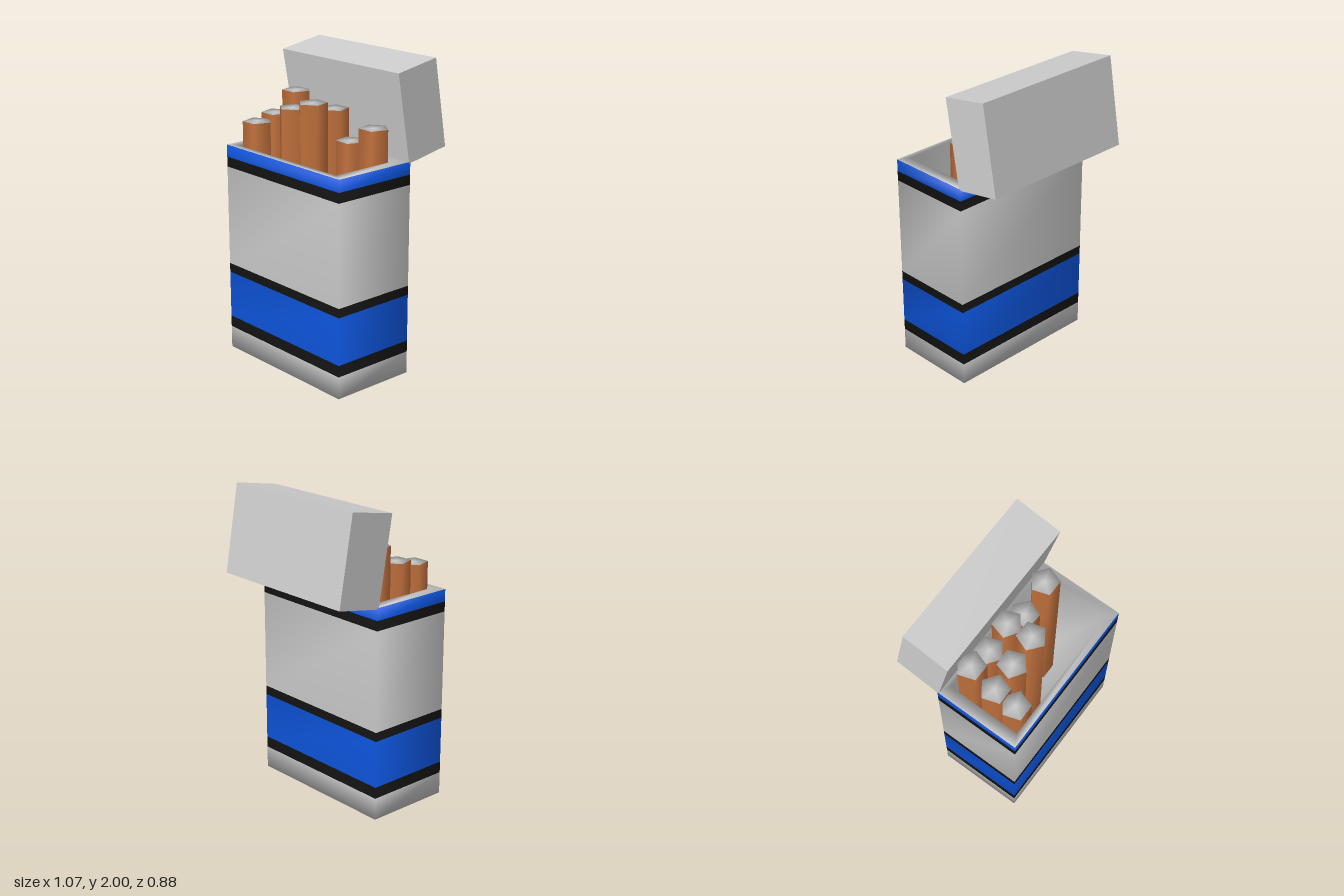
import * as THREE from 'three';
import { mergeVertices } from 'three/addons/utils/BufferGeometryUtils.js';

const paint = (color) => new THREE.MeshStandardMaterial({ color });
const grey = paint(0xcccccc);
const black = paint(0x141414);
const blue = paint(0x0d55dd);
const orange = paint(0xc0703c);

// Open carton: rectangular rings lofted up the outside, over the rim and down
// the inside, sharing vertices so the shading runs softly round the corners.
function cartonGeometry(rings) {
  const positions = [], index = [];
  const geometry = new THREE.BufferGeometry();
  for (const { y, x, back, front } of rings) {
    positions.push(-x, y, front, x, y, front, x, y, back, -x, y, back);
  }
  index.push(0, 3, 2, 0, 2, 1); // underside
  geometry.addGroup(0, 6, 0);
  for (let i = 0; i < rings.length - 1; i++) {
    geometry.addGroup(index.length, 24, rings[i].material);
    for (let j = 0; j < 4; j++) {
      const a = i * 4 + j, b = i * 4 + (j + 1) % 4;
      index.push(a, b, b + 4, a, b + 4, a + 4);
    }
  }
  const f = (rings.length - 1) * 4; // cavity floor
  geometry.addGroup(index.length, 6, 0);
  index.push(f, f + 1, f + 2, f, f + 2, f + 3);
  geometry.setAttribute('position', new THREE.Float32BufferAttribute(positions, 3));
  geometry.setIndex(index);
  geometry.computeVertexNormals();
  return geometry;
}

// Five-sided stick with soft normals running over its end caps
function stickGeometry(radius, height) {
  const cylinder = new THREE.CylinderGeometry(radius, radius, height, 5);
  cylinder.deleteAttribute('normal');
  cylinder.deleteAttribute('uv');
  const geometry = mergeVertices(cylinder);
  geometry.computeVertexNormals();
  return geometry;
}

export function createModel() {
  const model = new THREE.Group();
  model.name = 'openCarton';

  // Carton with coloured bands: [start height, material index of the band above]
  const outer = { x: 0.533, back: -0.135, front: 0.443 };
  const inner = { x: 0.457, back: -0.092, front: 0.4, material: 0 };
  const bands = [[0, 0], [0.145, 1], [0.22, 2], [0.53, 1], [0.59, 0], [1.245, 1], [1.31, 2], [1.39, 0]];
  const floorY = 0.1;
  const rings = bands.map(([y, material]) => ({ ...outer, y, material }));
  rings.push({ ...inner, y: 1.39 }, { ...inner, y: floorY });
  const carton = new THREE.Mesh(cartonGeometry(rings), [grey, black, blue]);
  carton.name = 'carton';
  model.add(carton);

  // Lid tipped back on the rear edge
  const lid = new THREE.Mesh(new THREE.BoxGeometry(1.066, 0.574, 0.316), grey);
  lid.name = 'lid';
  lid.position.set(0, 1.69, -0.231);
  lid.rotation.x = THREE.MathUtils.degToRad(10);
  model.add(lid);

  // Sticks: x, z, top height, turn in degrees
  const sticks = new THREE.Group();
  sticks.name = 'sticks';
  const layout = [
    [-0.365, 0.0, 1.71, 180],
    [-0.365, 0.172, 1.59, 180],
    [-0.365, 0.322, 1.555, 180],
    [-0.195, 0.003, 1.6, 0],
    [-0.195, 0.175, 1.65, 3],
    [-0.01, 0.0, 1.65, 3],
    [-0.01, 0.175, 1.71, -3],
    [0.155, 0.003, 1.475, 176],
    [0.36, 0.003, 1.59, 180],
  ];
  layout.forEach(([x, z, top, turn], i) => {
    const stick = new THREE.Mesh(stickGeometry(0.095, top - floorY), [orange, grey, grey]);
    stick.name = `stick${i + 1}`;
    stick.position.set(x, (top + floorY) / 2, z);
    stick.rotation.y = THREE.MathUtils.degToRad(turn);
    sticks.add(stick);
  });
  model.add(sticks);

  return model;
}
